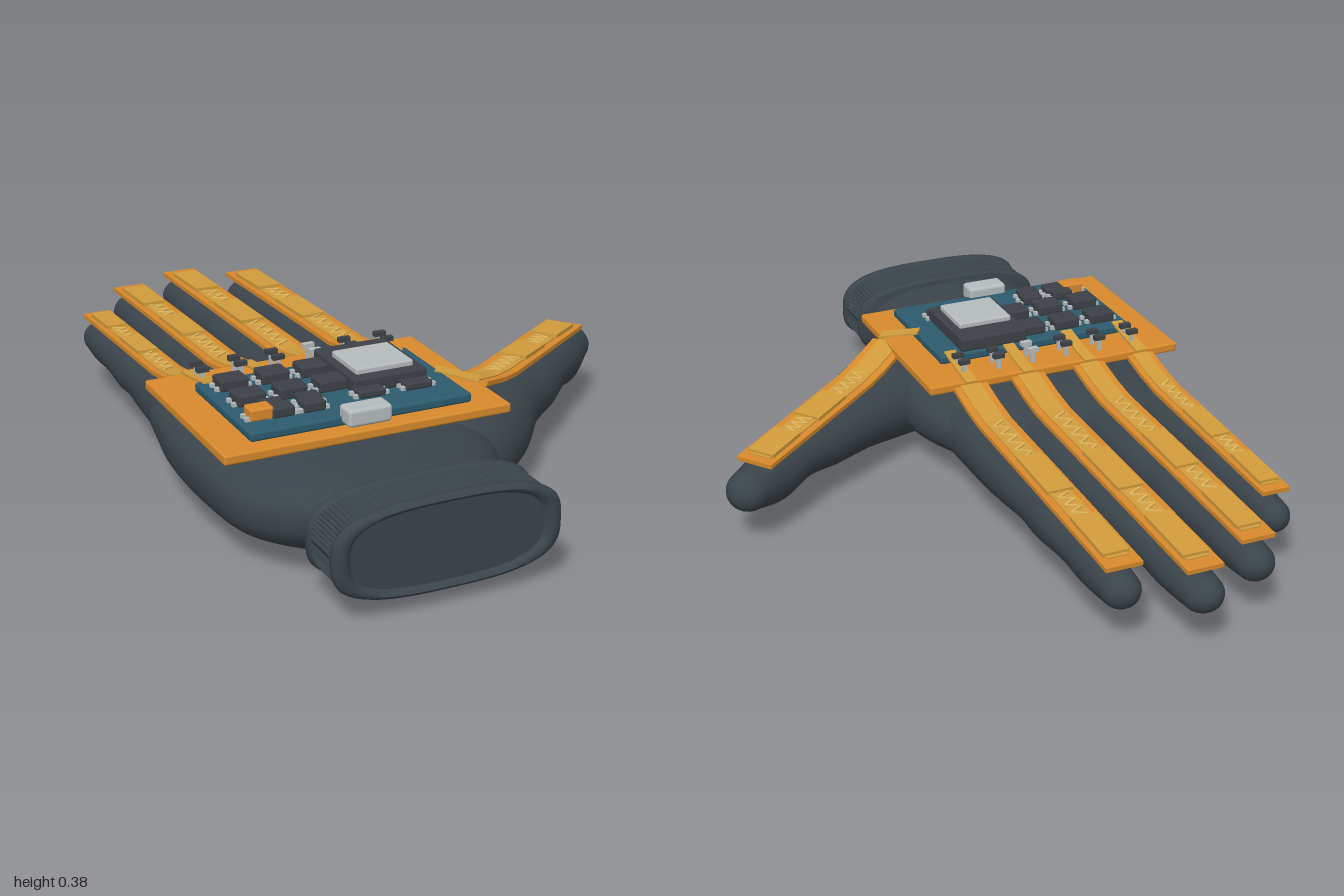
import * as THREE from 'three';
import { toCreasedNormals } from 'three/addons/utils/BufferGeometryUtils.js';
import { RoundedBoxGeometry } from 'three/addons/geometries/RoundedBoxGeometry.js';

const colours = {
  glove: 0x3a444a, flexOrange: 0xd88a2c, sensorGold: 0xd29c3c, traceYellow: 0xe0b458,
  boardBlue: 0x2d5b6e, chipDark: 0x3d4147, metalSilver: 0xb6bcbe,
};
const mats = {};
const V = (x, y, z) => new THREE.Vector3(x, y, z);

// Smoothly interpolates rows of numbers
function refine(rows, steps) {
  const out = [];
  const cr = (a, b, c, d, t) => b + 0.5 * t * (c - a + t * (2 * a - 5 * b + 4 * c - d + t * (3 * (b - c) + d - a)));
  for (let i = 0; i < rows.length - 1; i++) {
    const a = rows[Math.max(i - 1, 0)], b = rows[i], c = rows[i + 1], d = rows[Math.min(i + 2, rows.length - 1)];
    for (let k = 0; k < steps; k++) out.push(b.map((_, j) => cr(a[j], b[j], c[j], d[j], k / steps)));
  }
  out.push(rows[rows.length - 1]);
  return out;
}

// Skin over rows [x, y, z, halfWidth, halfHeight] running along a level direction, with a rounded tip
function loft(rows, dir, { power = 2, tip = 0, n = 40, steps = 5, rib = 0 } = {}) {
  const d = dir.clone().normalize();
  const u = d.clone().cross(V(0, 1, 0));
  const list = refine(rows, steps);
  const [x, y, z, w, h] = rows[rows.length - 1];
  for (let k = 1; tip && k <= 8; k++) {
    const a = (k / 8) * Math.PI / 2, s = Math.sin(a) * tip, c = Math.max(Math.cos(a), 0.001);
    list.push([x + d.x * s, y, z + d.z * s, w * c, h * c]);
  }
  const pos = [], idx = [];
  const bend = (v) => Math.sign(v) * Math.abs(v) ** (2 / power);
  list.forEach(([px, py, pz, pw, ph]) => {
    for (let j = 0; j < n; j++) {
      const a = (j / n) * Math.PI * 2, r = 1 + rib * (j % 2);
      const cu = bend(Math.cos(a)) * pw * r;
      pos.push(px + u.x * cu, py + bend(Math.sin(a)) * ph * r, pz + u.z * cu);
    }
  });
  for (let i = 0; i < list.length - 1; i++) {
    for (let j = 0; j < n; j++) {
      const a = i * n + j, b = i * n + (j + 1) % n;
      idx.push(a, a + n, b + n, a, b + n, b);
    }
  }
  const g = new THREE.BufferGeometry();
  g.setAttribute('position', new THREE.Float32BufferAttribute(pos, 3));
  g.setIndex(idx);
  g.computeVertexNormals();
  return g;
}

function add(parent, name, geometry, mat) {
  const m = new THREE.Mesh(geometry, mats[mat]);
  m.name = name;
  parent.add(m);
  return m;
}

// Box given by its limits, optionally with rounded edges
function box(parent, name, mat, x0, x1, y0, y1, z0, z1, r = 0) {
  const s = [x1 - x0, y1 - y0, z1 - z0];
  const g = r ? new RoundedBoxGeometry(...s, 2, r) : new THREE.BoxGeometry(...s);
  add(parent, name, g, mat).position.set((x0 + x1) / 2, (y0 + y1) / 2, (z0 + z1) / 2);
}

// Flat bar from a to b
function bar(parent, name, mat, a, b, width, thick) {
  const m = add(parent, name, new THREE.BoxGeometry(width, thick, a.distanceTo(b) + 0.002), mat);
  m.position.copy(a).lerp(b, 0.5);
  m.lookAt(b);
}

// Flexible strip with two raised sensors and zigzag traces
function sensorStrip(parent, name, x, z, dir, length, width) {
  const g = new THREE.Group();
  g.name = name;
  parent.add(g);
  const d = dir.clone().normalize(), side = V(-d.z, 0, d.x);
  const profile = [[-0.02, 0.291], [0.1, 0.262], [0.18, 0.25], [length * 0.6, 0.238], [length, 0.224]];
  const at = (s, lift = 0, off = 0) => {
    let i = 0;
    while (i < profile.length - 2 && s > profile[i + 1][0]) i++;
    const [s0, y0] = profile[i], [s1, y1] = profile[i + 1];
    return V(x, 0, z).addScaledVector(d, s).addScaledVector(side, off).setY(y0 + (y1 - y0) * (s - s0) / (s1 - s0) + lift);
  };
  for (let i = 0; i < profile.length - 1; i++) {
    const a = profile[i][0], b = profile[i + 1][0];
    bar(g, 'flexStrip', 'flexOrange', at(a), at(b), width, 0.012);
    bar(g, 'goldLayer', 'sensorGold', at(a, 0.007), at(Math.min(b, length * 0.96), 0.007), width * 0.6, 0.004);
  }
  for (const [a, b] of [[0.42, 0.62], [0.76, 0.95]]) {
    bar(g, 'sensor', 'sensorGold', at(a * length, 0.013), at(b * length, 0.011), width * 0.72, 0.01);
  }
  for (const [a, b, n] of [[0.2, 0.42, 9], [0.63, 0.75, 6]]) {
    for (let k = 0; k < n; k++) {
      const p = (i) => at((a + (b - a) * i / n) * length, 0.011, (i % 2 ? 1 : -1) * width * 0.18);
      bar(g, 'zigzagTrace', 'traceYellow', p(k), p(k + 1), 0.007, 0.004);
    }
  }
}

// Chip with a row of pins on both sides
function chip(parent, x, z, w, l, top = 0.355, mat = 'chipDark') {
  box(parent, 'chip', mat, x - w / 2, x + w / 2, 0.325, top, z - l / 2, z + l / 2, 0.006);
  for (const s of [-1, 1]) for (const k of [-1, 1]) {
    const px = x + s * (w / 2 + 0.004), pz = z + k * l * 0.25;
    box(parent, 'chipPin', 'metalSilver', px - 0.007, px + 0.007, 0.325, 0.336, pz - 0.006, pz + 0.006);
  }
}

export function createModel() {
  const model = new THREE.Group();
  model.name = 'sensorGlove';
  for (const [name, color] of Object.entries(colours)) {
    mats[name] = new THREE.MeshStandardMaterial({ color });
    mats[name].name = name;
  }
  const hand = new THREE.Group(), electronics = new THREE.Group();
  hand.name = 'glove';
  electronics.name = 'electronics';
  model.add(hand, electronics);
  const forward = V(0, 0, -1);

  // Palm
  add(hand, 'palm', loft([
    [-0.297, 0.16, 0.9, 0.26, 0.1], [-0.3, 0.16, 0.78, 0.267, 0.104], [-0.312, 0.15, 0.68, 0.322, 0.113],
    [-0.315, 0.145, 0.58, 0.362, 0.121], [-0.305, 0.142, 0.4, 0.385, 0.127], [-0.31, 0.145, 0.2, 0.38, 0.122],
    [-0.318, 0.15, 0.05, 0.352, 0.103], [-0.318, 0.152, -0.04, 0.337, 0.083],
  ], forward, { power: 2.5, tip: 0.06, n: 64 }), 'glove');

  // Ribbed cuff with rolled rims and a recessed end
  const cuff = [[0.985, 0.001, 0.001], [0.985, 0.25, 0.098], [0.996, 0.258, 0.103], [1, 0.272, 0.11], [0.996, 0.29, 0.116],
    [0.985, 0.297, 0.12], [0.972, 0.295, 0.119], [0.966, 0.287, 0.114], [0.862, 0.287, 0.114], [0.856, 0.294, 0.119],
    [0.842, 0.297, 0.12], [0.83, 0.288, 0.115], [0.826, 0.25, 0.095]].map(([z, w, h]) => [-0.297, 0.16, z, w, h]);
  add(hand, 'cuff', toCreasedNormals(loft(cuff, forward, { power: 3, n: 80, steps: 1 }), 0.9), 'glove');
  const ribs = [[-0.297, 0.16, 0.966, 0.287, 0.114], [-0.297, 0.16, 0.862, 0.287, 0.114]];
  add(hand, 'cuffRibs', toCreasedNormals(loft(ribs, forward, { power: 3, n: 160, steps: 1, rib: 0.018 }), 0.4), 'glove');

  // Fingers and their strips: x, tip z, tip radius, strip end z, strip width
  const fingers = [['little', -0.58, -0.73, 0.042, -0.69, 0.08], ['ring', -0.415, -0.92, 0.052, -0.88, 0.094],
    ['middle', -0.225, -1, 0.055, -0.955, 0.1], ['index', -0.05, -0.905, 0.052, -0.87, 0.1]];
  const shape = [[0, 1.5, 0.084], [0.25, 1.5, 0.078], [0.38, 1.36, 0.073], [0.5, 1.2, 0.063], [0.6, 1.24, 0.067],
    [0.75, 1.1, 0.054], [0.88, 1.12, 0.058], [1, 1, 0.049]];
  for (const [name, x, tipZ, r, end, w] of fingers) {
    const k = r < 0.05 ? 0.9 : 1;
    const rows = shape.map(([f, s, h]) => [x, 0.152, 0.08 + f * (tipZ + r - 0.08), r * s, h * k]);
    add(hand, name + 'Finger', loft(rows, forward, { tip: r, n: 28 }), 'glove');
    sensorStrip(electronics, name + 'Strip', x, 0.08, forward, 0.08 - end, w);
    bar(electronics, 'stripLead', 'sensorGold', V(x, 0.303, 0.06), V(x, 0.312, 0.13), 0.034, 0.006);
    bar(electronics, 'stripLead', 'sensorGold', V(x, 0.312, 0.13), V(x, 0.328, 0.22), 0.034, 0.006);
  }

  // Thumb
  add(hand, 'thumb', loft([
    [-0.16, 0.135, 0.54, 0.1, 0.1], [-0.05, 0.13, 0.47, 0.17, 0.13], [0.1, 0.135, 0.385, 0.15, 0.117],
    [0.24, 0.148, 0.275, 0.11, 0.096], [0.36, 0.15, 0.19, 0.096, 0.084], [0.46, 0.155, 0.115, 0.078, 0.07],
    [0.55, 0.145, 0.042, 0.072, 0.075], [0.632, 0.153, -0.028, 0.06, 0.056],
  ], V(0.79, 0, -0.61), { tip: 0.06, n: 36 }), 'glove');
  sensorStrip(electronics, 'thumbStrip', 0.075, 0.4, V(0.535, 0, -0.415), 0.675, 0.11);
  bar(electronics, 'thumbLead', 'sensorGold', V(-0.02, 0.328, 0.385), V(0.07, 0.306, 0.45), 0.04, 0.006);

  // Base sheet and circuit board
  box(electronics, 'baseSheet', 'flexOrange', -0.7, 0.07, 0.276, 0.302, 0.07, 0.62, 0.006);
  box(electronics, 'circuitBoard', 'boardBlue', -0.612, -0.014, 0.3, 0.326, 0.198, 0.57, 0.008);

  // Chips
  for (const x of [-0.54, -0.428, -0.32]) for (const z of [0.265, 0.378]) chip(electronics, x, z, 0.076, 0.064);
  for (const [x, z] of [[-0.51, 0.455], [-0.41, 0.455], [-0.5, 0.49], [-0.417, 0.49]]) chip(electronics, x, z, 0.06, 0.046, 0.352);
  for (const x of [-0.25, -0.12]) chip(electronics, x, 0.465, 0.074, 0.05, 0.345);
  chip(electronics, -0.555, 0.485, 0.062, 0.048, 0.357, 'flexOrange');

  // Processor with its metal lid, and the end socket
  box(electronics, 'processor', 'chipDark', -0.285, -0.08, 0.325, 0.366, 0.203, 0.455, 0.008);
  box(electronics, 'processorLid', 'metalSilver', -0.265, -0.105, 0.36, 0.381, 0.275, 0.425, 0.006);
  box(electronics, 'socket', 'metalSilver', -0.373, -0.255, 0.308, 0.354, 0.55, 0.612, 0.01);

  // Small components between the strips and the board
  for (let i = 0; i < 6; i++) for (const z of [0.115, 0.16]) {
    const x = -0.575 + i * 0.105;
    box(electronics, 'componentFoot', 'metalSilver', x - 0.006, x + 0.006, 0.3, 0.338, z - 0.004, z + 0.004);
    box(electronics, 'component', i === 3 ? 'metalSilver' : 'chipDark', x - 0.016, x + 0.016, 0.335, 0.348, z - 0.008, z + 0.008);
  }
  return model;
}
